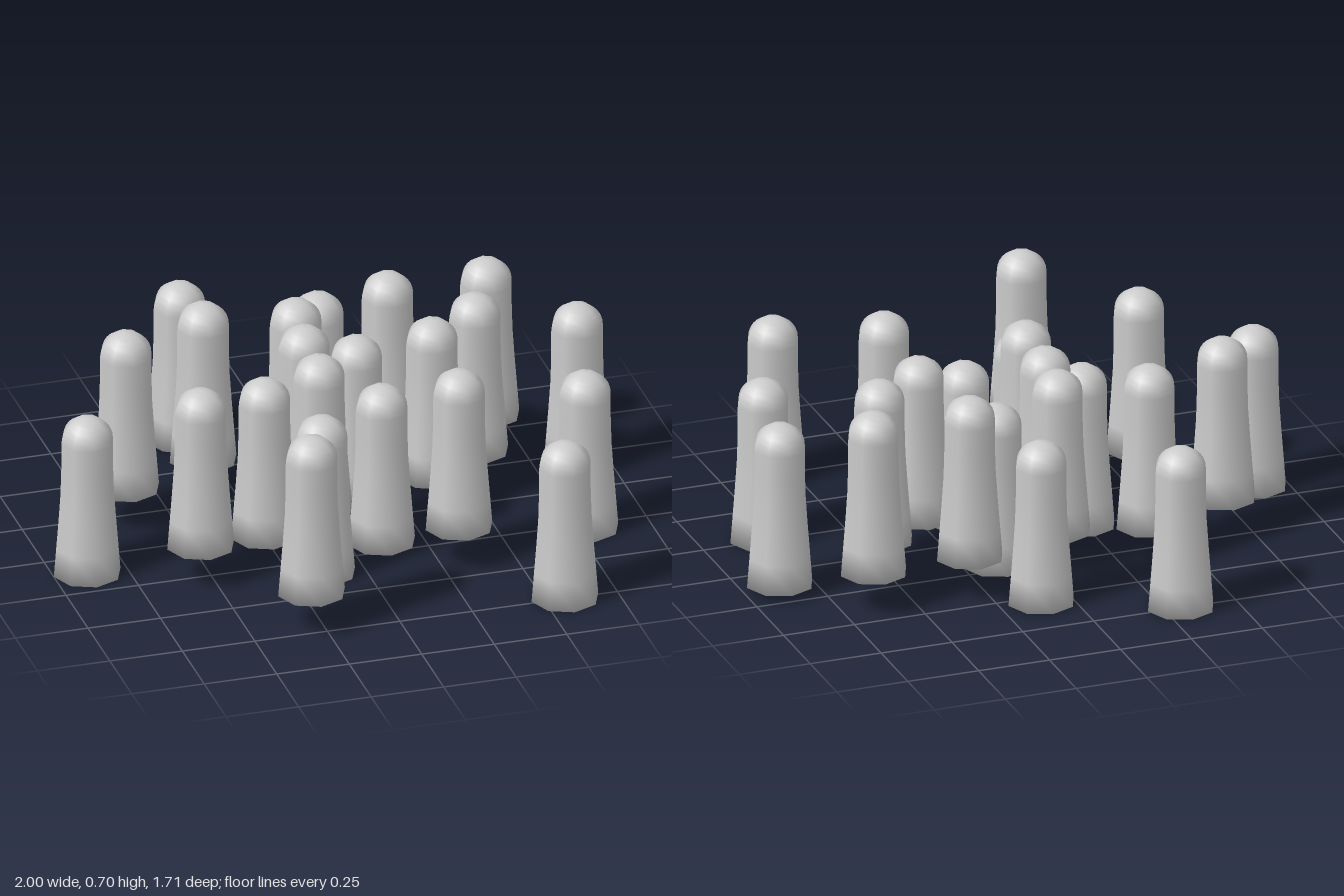
import * as THREE from 'three';

// one post: eight-sided, flared foot, straight shaft, domed top, closed base
function postGeometry() {
  const profile = [[0, 0], [0.115, 0], [0.107, 0.1], [0.099, 0.2], [0.092, 0.3], [0.089, 0.4]]
    .map(([r, y]) => new THREE.Vector2(r, y));
  const domeRadius = 0.089, domeBase = 0.486, steps = 7;
  for (let i = 0; i <= steps; i++) {
    const a = (i / steps) * Math.PI / 2;
    const r = i === steps ? 0 : domeRadius * Math.cos(a);
    profile.push(new THREE.Vector2(r, domeBase + domeRadius * Math.sin(a)));
  }
  return new THREE.LatheGeometry(profile, 8);
}

// base heights and the [x, z] places of the posts standing at each
const tiers = [
  { name: 'lowPost', y: 0, places: [
    [-0.31, -0.74], [0.105, -0.535], [0.135, -0.195], [-0.245, 0.015], [-0.885, 0.11],
    [0.112, 0.17], [-0.143, 0.33], [0.783, 0.27], [0.572, 0.74]] },
  { name: 'middlePost', y: 0.03, places: [[0.885, -0.157]] },
  { name: 'highPost', y: 0.125, places: [
    [0.638, -0.38], [0.297, -0.375], [-0.35, -0.338], [-0.655, -0.212], [-0.05, -0.275],
    [0.528, -0.143], [-0.08, -0.08], [0.34, -0.01], [-0.095, 0.14], [-0.54, 0.263],
    [0.317, 0.375], [-0.288, 0.695]] },
];

export function createModel() {
  const group = new THREE.Group();
  group.name = 'postCluster';
  const geometry = postGeometry();
  const material = new THREE.MeshStandardMaterial({ color: 0xcccccc });
  for (const { name, y, places } of tiers) {
    places.forEach(([x, z], i) => {
      const post = new THREE.Mesh(geometry, material);
      post.name = name + (i + 1);
      post.position.set(x, y, z);
      group.add(post);
    });
  }
  return group;
}
